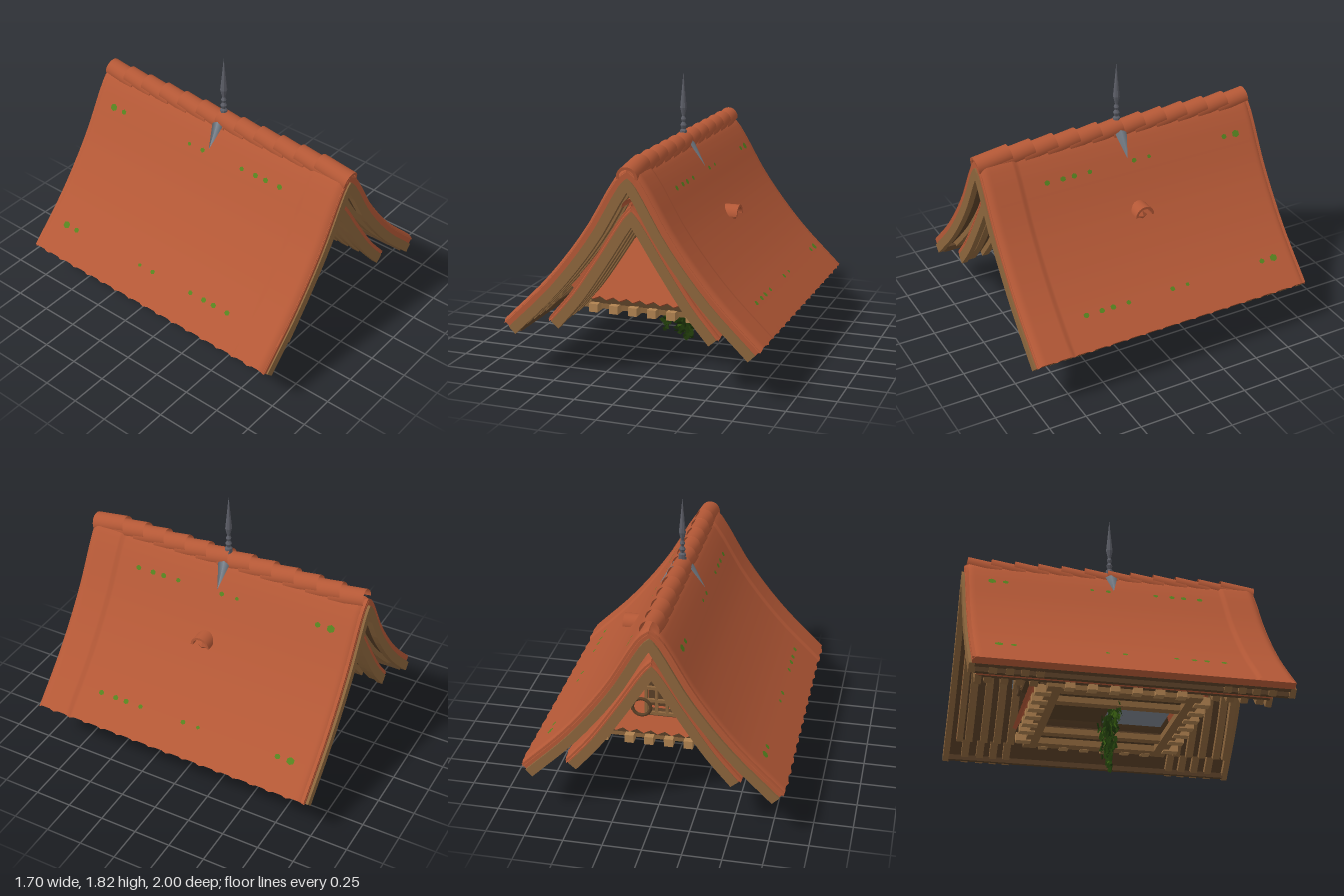
import * as THREE from 'three';
import { mergeGeometries } from 'three/addons/utils/BufferGeometryUtils.js';

const mat = (name, color, opts = {}) => {
  const m = new THREE.MeshStandardMaterial({ color, ...opts });
  m.name = name;
  return m;
};

// Half profile of a roof, from apex to eave
const curve = (pts) => new THREE.CatmullRomCurve3(pts.map(([x, y]) => new THREE.Vector3(x, y, 0)));
const mainCurve = curve([[0, 1.41], [0.08, 1.345], [0.3, 0.985], [0.55, 0.665], [0.845, 0.37]]);
const innerCurve = curve([[0, 1.18], [0.07, 1.11], [0.25, 0.835], [0.42, 0.585], [0.575, 0.4]]);

// Point on a profile, pushed inward by an offset
function offsetPoint(c, t, o) {
  const p = c.getPoint(t), d = c.getTangent(t);
  return new THREE.Vector2(p.x + d.y * o, p.y - d.x * o);
}
function halfLine(c, o, tMax, n = 16) {
  const pts = [];
  for (let i = 0; i <= n; i++) pts.push(offsetPoint(c, 0.04 + (tMax - 0.04) * i / n, o));
  while (pts[1].x <= 0) pts.shift();
  const [a, b] = pts, k = -a.x / (b.x - a.x);
  pts[0] = new THREE.Vector2(0, a.y + (b.y - a.y) * k);
  return pts;
}
// Chevron-shaped layer of a roof between two offsets and two z positions
function band(c, o0, o1, z0, z1, tMax = 1) {
  const outer = halfLine(c, o0, tMax), inner = halfLine(c, o1, tMax);
  const flip = (p) => new THREE.Vector2(-p.x, p.y);
  const pts = [...outer, ...inner.slice().reverse(),
    ...inner.slice(1).map(flip), ...outer.slice(1).reverse().map(flip)];
  return new THREE.ExtrudeGeometry(new THREE.Shape(pts), { depth: z1 - z0, bevelEnabled: false }).translate(0, 0, z0);
}
const box = (w, h, d, x, y, z) => new THREE.BoxGeometry(w, h, d).translate(x, y, z);

// Tile skin with a raised verge, rolled ends and a scalloped eave
function tileSkin(c, z0, z1, side, waves, verge) {
  const rows = waves * 8, cols = 15, pos = [], idx = [];
  for (let i = 0; i <= rows; i++) {
    const z = z0 + (z1 - z0) * i / rows;
    const edge = Math.max(0, 0.05 - Math.min(z - z0, z1 - z)) / 0.05;
    const o = (z > verge ? 0 : 0.01) + 0.025 * edge * edge;
    const wave = 0.028 * Math.abs((i / 8) % 1 - 0.5) - 0.007;
    for (let j = 0; j <= cols; j++) {
      const p = offsetPoint(c, j / cols, o);
      if (j === cols) { p.x += wave; p.y -= wave * 0.95; }
      pos.push(side * Math.max(0, p.x), p.y, z);
      if (i < rows && j < cols) {
        const a = i * (cols + 1) + j, b = a + cols + 1;
        if (side > 0) idx.push(a, b, a + 1, b, b + 1, a + 1);
        else idx.push(a, a + 1, b, b, a + 1, b + 1);
      }
    }
  }
  const g = new THREE.BufferGeometry();
  g.setAttribute('position', new THREE.Float32BufferAttribute(pos, 3));
  g.setIndex(idx);
  g.computeVertexNormals();
  return g;
}

export function createModel() {
  const root = new THREE.Group();
  const tile = mat('terracotta', 0xb45836, { side: THREE.DoubleSide });
  const wood = mat('wood', 0x8c653c);
  const lightWood = mat('lightWood', 0xb08250);
  const darkWood = mat('darkWood', 0x5a4027);
  const lead = mat('lead', 0x7e8791, { side: THREE.DoubleSide });
  const iron = mat('iron', 0x5b5d66, { flatShading: true });
  const leafDark = mat('darkLeaf', 0x1f3a0a, { side: THREE.DoubleSide });
  const leafLight = mat('lightLeaf', 0x35590f, { side: THREE.DoubleSide });
  const moss = mat('moss', 0x55821f, { side: THREE.DoubleSide });
  const add = (name, geo, material) => {
    const m = new THREE.Mesh(Array.isArray(geo) ? mergeGeometries(geo) : geo, material);
    m.name = name;
    root.add(m);
    return m;
  };

  // Main roof and the smaller roof nested under it
  for (const s of [1, -1]) {
    add('mainTiles', tileSkin(mainCurve, -0.98, 0.99, s, 16, 0.745), tile);
    add('innerTiles', tileSkin(innerCurve, -0.93, 0.93, s, 16, 2), tile);
  }
  add('mainTileBed', band(mainCurve, 0.018, 0.06, -0.978, 0.985), tile);
  add('mainBoards', band(mainCurve, 0.06, 0.08, -0.96, 0.96), darkWood);
  add('innerTileBed', band(innerCurve, 0.018, 0.045, -0.925, 0.925), tile);
  add('innerBoards', band(innerCurve, 0.045, 0.06, -0.91, 0.91), darkWood);

  // Lead flashing closing the gap between the roofs, with stepped tiles in front
  add('gapFlashing', [-0.6, 0.59].map((z) => band(mainCurve, 0.08, 0.2, z, z + 0.01, 0.74)), lead);
  const steps = [];
  for (let i = 0; i < 7; i++) {
    const t = 0.25 + i * 0.085, p = offsetPoint(innerCurve, t, -0.012), d = innerCurve.getTangent(t);
    for (const s of [1, -1]) {
      steps.push(box(0.095, 0.035, 1.5, 0, 0, 0).rotateZ(s * (Math.atan2(d.y, d.x) + 0.12)).translate(s * p.x, p.y, 0));
    }
  }
  add('steppedTiles', steps, tile);

  // Bargeboards and rafters at both gables
  const barge = [], rafters = [];
  for (const s of [1, -1]) {
    barge.push(band(mainCurve, 0.058, 0.12, s * 0.975 - 0.02, s * 0.975 + 0.02));
    barge.push(band(innerCurve, 0.043, 0.108, s * 0.91 - 0.02, s * 0.91 + 0.02));
    for (const z of [0.57, 0.66, 0.75, 0.85]) {
      rafters.push(band(mainCurve, 0.075, 0.116, s * z - 0.024, s * z + 0.024));
      rafters.push(band(innerCurve, 0.055, 0.095, s * z - 0.024, s * z + 0.024));
    }
  }
  add('bargeboards', barge, wood);
  add('rafters', rafters, wood);
  add('eaveBoards', [1, -1].map((s) => box(0.03, 0.035, 1.92, s * 0.75, 0.312, 0)), darkWood);

  // Overlapping ridge tiles
  const r = 0.068, len = 0.235, ridge = [];
  for (let i = 0; i < 12; i++) {
    const shell = new THREE.CylinderGeometry(r, r - 0.005, len, 14, 1, true, Math.PI / 2 - 0.2, Math.PI + 0.4).rotateX(Math.PI / 2);
    const lip = new THREE.RingGeometry(r - 0.018, r, 14, 1, -0.2, Math.PI + 0.4).translate(0, 0, len / 2);
    for (const g of [shell, lip]) ridge.push(g.rotateX(0.17).translate(0, 1.362, 0.875 - i * 0.157));
  }
  add('ridgeTiles', ridge, tile);
  add('innerRidge', new THREE.CylinderGeometry(0.06, 0.06, 1.86, 14, 1, true, Math.PI / 2, Math.PI)
    .rotateX(Math.PI / 2).translate(0, 1.14, 0), tile);

  // Finial and its lead flashing
  const spike = [[0.03, 1.36], [0.024, 1.45], [0.012, 1.46], [0.022, 1.485], [0.01, 1.505], [0.018, 1.525],
    [0.01, 1.545], [0.023, 1.6], [0.013, 1.7], [0, 1.835]].map(([x, y]) => new THREE.Vector2(x, y));
  add('finial', new THREE.LatheGeometry(spike, 8), iron);
  const apron = offsetPoint(mainCurve, 0.29, 0.008);
  for (const s of [1, -1]) {
    const g = new THREE.ConeGeometry(0.045, 0.19, 4).scale(0.22, 1, 1).rotateZ(Math.PI + s * 0.55);
    add('flashing', g.translate(s * apron.x, apron.y, 0), lead);
  }

  // Hooded vent on the left slope
  const hood = (rad) => new THREE.CylinderGeometry(rad, rad, 0.13, 14, 1, true, 0, Math.PI).rotateZ(Math.PI / 2).translate(0.325, 0.915, 0);
  const hoodRim = new THREE.RingGeometry(0.05, 0.066, 14, 1, 0, Math.PI).rotateY(Math.PI / 2).translate(0.39, 0.915, 0);
  add('ventHood', [hood(0.066), hood(0.05), hoodRim], tile);
  add('ventMouth', new THREE.OctahedronGeometry(0.036).scale(0.5, 1, 1).translate(0.352, 0.9, 0), tile);

  // Moss patches lying on the slopes
  const patches = [];
  for (const s of [1, -1]) {
    for (const t of [0.36, 0.87]) {
      for (const [z, size] of [[0.58, 0.02], [0.47, 0.02], [0.39, 0.02], [0.28, 0.017], [-0.04, 0.018], [-0.15, 0.014], [-0.72, 0.02], [-0.81, 0.028]]) {
        const p = offsetPoint(mainCurve, t, 0.003), d = mainCurve.getTangent(t);
        patches.push(new THREE.CircleGeometry(size, 6).rotateX(-Math.PI / 2).scale(0.9, 1, 1)
          .rotateZ(s * Math.atan2(d.y, d.x)).translate(s * p.x, p.y, z));
      }
    }
  }
  add('mossPatches', patches, moss);

  // Sloping tiled skirt under each gable, with a scalloped edge
  const tri = new THREE.Shape();
  tri.moveTo(0, 0.68);
  tri.lineTo(-0.46, 0);
  for (let i = 1; i <= 20; i++) tri.lineTo(-0.46 + i * 0.046, i % 2 ? -0.022 : 0);
  for (const s of [1, -1]) {
    const g = new THREE.ExtrudeGeometry(tri, { depth: 0.025, bevelEnabled: false }).rotateX(-0.46).translate(0, 0.435, 0.54);
    add('gableSkirt', s > 0 ? g : g.rotateY(Math.PI), tile);
    add('skirtSill', box(0.9, 0.06, 0.03, 0, 0.41, s * 0.49), darkWood);
  }
  add('gableHook', box(0.04, 0.085, 0.06, 0, 0.953, 0.4), darkWood);
  add('skirtMoss', new THREE.CircleGeometry(0.018, 5).rotateX(-0.46).translate(0.045, 0.915, 0.335), moss);

  // Railed hatch and wheel on the back skirt
  const rails = [];
  for (const y of [0.58, 0.67, 0.76]) rails.push(box(0.36, 0.02, 0.02, -0.05, y, -0.56));
  for (let i = 0; i < 6; i++) rails.push(box(0.018, 0.2, 0.018, -0.22 + i * 0.068, 0.67, -0.56));
  for (const x of [-0.22, 0.12]) {
    rails.push(box(0.02, 0.02, 0.16, x, 0.76, -0.49), box(0.02, 0.02, 0.12, x, 0.58, -0.51));
  }
  add('hatchRailing', rails, wood);
  add('hatchFloor', box(0.36, 0.02, 0.12, -0.05, 0.57, -0.5), darkWood);
  add('hatchBack', box(0.34, 0.18, 0.02, -0.05, 0.67, -0.48), darkWood);
  add('wheel', new THREE.TorusGeometry(0.06, 0.012, 6, 16).translate(0.15, 0.62, -0.57), darkWood);

  // Floor frame with an open middle
  const frame = [];
  for (const s of [1, -1]) {
    frame.push(box(1.06, 0.045, 0.09, 0, 0.36, s * 0.44));
    frame.push(box(0.08, 0.045, 0.84, s * 0.47, 0.36, 0));
    frame.push(box(0.06, 0.04, 0.8, s * 0.27, 0.362, 0));
  }
  add('floorFrame', frame, wood);
  add('floorBoards', [...[1, -1].map((s) => box(0.2, 0.015, 0.82, s * 0.35, 0.388, 0)),
    box(0.5, 0.012, 0.4, 0, 0.45, -0.2), box(0.25, 0.012, 0.4, -0.125, 0.45, 0.2)], darkWood);
  add('floorLining', box(0.25, 0.012, 0.4, 0.125, 0.45, 0.2), lead);
  const blocks = [];
  for (const s of [1, -1]) {
    for (const x of [-0.42, -0.28, -0.15, -0.02, 0.11, 0.24, 0.41]) blocks.push(box(0.06, 0.055, 0.1, x, 0.356, s * 0.5));
    for (let i = 0; i < 6; i++) blocks.push(box(0.06, 0.05, 0.06, s * 0.51, 0.36, -0.35 + i * 0.14));
  }
  add('joistEnds', blocks, lightWood);

  // Hanging vines: [x, z, lowest y, spread]
  let seed = 7;
  const rnd = () => (seed = (seed * 16807) % 2147483647) / 2147483647;
  const leaves = [[], []];
  const vines = [[-0.28, 0, 0.22, 0.03], [-0.2, 0.01, 0.18, 0.04], [-0.14, -0.03, 0.03, 0.03], [-0.08, 0.01, 0.09, 0.06],
    [-0.04, -0.03, 0.01, 0.05], [0.02, 0.01, -0.01, 0.06], [0.05, 0.01, 0, 0.05], [0.08, -0.03, 0.1, 0.06], [0.13, 0.01, 0.12, 0.04]];
  for (const [x, z, low, spread] of vines) {
    for (let y = 0.37; y > low + 0.03; y -= 0.011) {
      const taper = Math.min(1, (y - low) / 0.2 + 0.1);
      const g = new THREE.CircleGeometry(0.016 + 0.024 * taper, 4).scale(0.75, 1, 1);
      g.rotateX(rnd() * 1.6 - 0.8).rotateY(rnd() * 2 - 1).rotateZ(rnd() * 6);
      g.scale(1, 1, 0.6).translate(x + (rnd() - 0.5) * 2 * spread * taper, y, z + (rnd() - 0.5) * 0.04 * taper);
      leaves[rnd() < 0.88 ? 0 : 1].push(g);
    }
  }
  add('vineLeaves', leaves[0], leafDark);
  add('vineHighlights', leaves[1], leafLight);
  return root;
}
